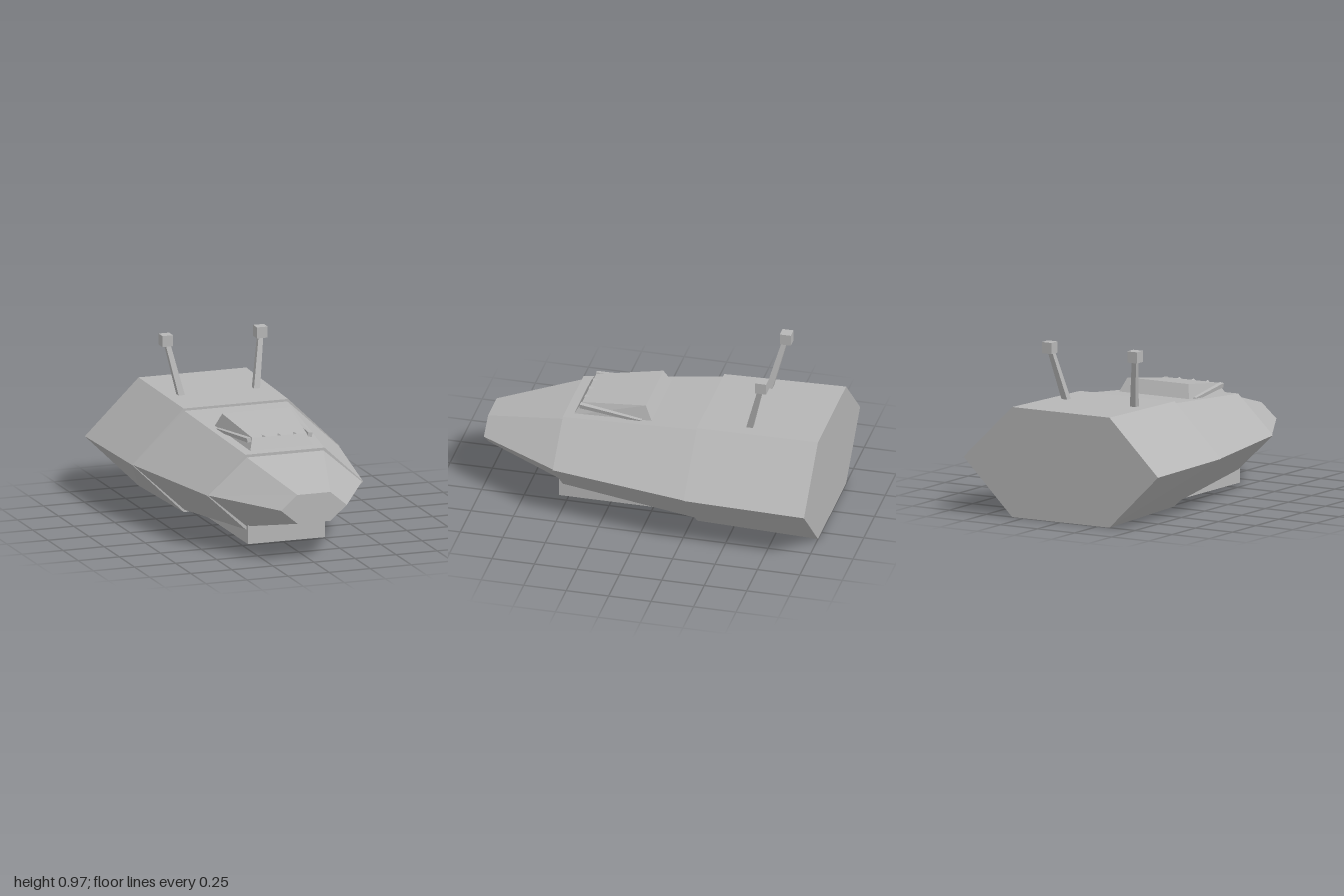
import * as THREE from 'three';

const hullGrey = new THREE.MeshStandardMaterial({ color: 0xb6b6b6 });
hullGrey.name = 'hullGrey';
hullGrey.flatShading = true;

// Closed solid between two rings of points (counter-clockwise seen from the front)
function loft(front, back) {
  const pos = [];
  const tri = (a, b, c) => pos.push(...a, ...b, ...c);
  const n = front.length;
  for (let i = 0; i < n; i++) {
    const j = (i + 1) % n;
    tri(front[i], back[i], back[j]);
    tri(front[i], back[j], front[j]);
  }
  for (let i = 1; i < n - 1; i++) {
    tri(front[0], front[i], front[i + 1]);
    tri(back[0], back[i + 1], back[i]);
  }
  const g = new THREE.BufferGeometry();
  g.setAttribute('position', new THREE.Float32BufferAttribute(pos, 3));
  g.computeVertexNormals();
  return g;
}

// Six-sided hull section: waist half-width, deck half-width, top and bottom heights
function section(z, waist, deck, top, bottom) {
  const mid = 0.32;
  return [
    [waist, mid, z], [deck, top, z], [-deck, top, z],
    [-waist, mid, z], [-deck, bottom, z], [deck, bottom, z],
  ];
}

function part(parent, name, geometry) {
  const mesh = new THREE.Mesh(geometry, hullGrey);
  mesh.name = name;
  parent.add(mesh);
  return mesh;
}

// Straight four-sided bar between two points
function bar(parent, name, from, to, rFrom, rTo) {
  const a = new THREE.Vector3(...from), b = new THREE.Vector3(...to);
  const dir = b.clone().sub(a);
  const g = new THREE.CylinderGeometry(rTo, rFrom, dir.length(), 4).toNonIndexed();
  g.rotateY(Math.PI / 4);
  g.computeVertexNormals();
  const mesh = part(parent, name, g);
  mesh.position.copy(a).add(b).multiplyScalar(0.5);
  mesh.quaternion.setFromUnitVectors(new THREE.Vector3(0, 1, 0), dir.normalize());
  return mesh;
}

export function createModel() {
  const model = new THREE.Group();
  model.name = 'shuttle';

  // Hull: nose, middle and stern, each slightly proud of the one ahead
  part(model, 'nose', loft(
    section(1, 0.2, 0.1, 0.405, 0.235),
    section(0.52, 0.47, 0.235, 0.525, 0.117)));
  part(model, 'midHull', loft(
    section(0.525, 0.475, 0.24, 0.54, 0.1),
    section(-0.285, 0.627, 0.313, 0.611, 0.028)));
  part(model, 'sternHull', loft(
    section(-0.285, 0.632, 0.318, 0.625, 0.015),
    section(-1, 0.655, 0.328, 0.638, 0)));

  // Box keel under the front half
  const keel = part(model, 'keel', new THREE.BoxGeometry(0.47, 0.14, 0.9));
  keel.position.set(0, 0.089, 0.1);

  // Cabin with a roof sloping down to the front
  const slab = (w0, y0, z0, w1, y1, z1) =>
    [[w0, y0, z0], [w1, y1, z1], [-w1, y1, z1], [-w0, y0, z0]];
  part(model, 'cabin', loft(
    slab(0.195, 0.535, 0.475, 0.165, 0.61, 0.43),
    slab(0.245, 0.56, -0.01, 0.205, 0.664, 0.045)));

  // Small spikes along the front edge of the roof
  for (const x of [-0.095, 0, 0.095]) {
    const g = new THREE.ConeGeometry(0.011, 0.045, 4).toNonIndexed();
    g.computeVertexNormals();
    const spike = part(model, 'roofSpike', g);
    spike.rotation.x = -Math.PI / 2 + 0.1;
    spike.position.set(x, 0.611, 0.408);
  }

  for (const s of [-1, 1]) {
    const side = s > 0 ? 'left' : 'right';
    // Bars along the cabin flanks
    bar(model, side + 'CabinBar', [s * 0.185, 0.6, 0.435], [s * 0.237, 0.578, 0.06], 0.018, 0.012);
    // Leaning masts with cube heads
    bar(model, side + 'Mast', [s * 0.222, 0.59, -0.565], [s * 0.284, 0.92, -0.653], 0.027, 0.02);
    const head = part(model, side + 'MastHead', new THREE.BoxGeometry(0.065, 0.065, 0.065));
    head.position.set(s * 0.288, 0.937, -0.66);
  }
  return model;
}
